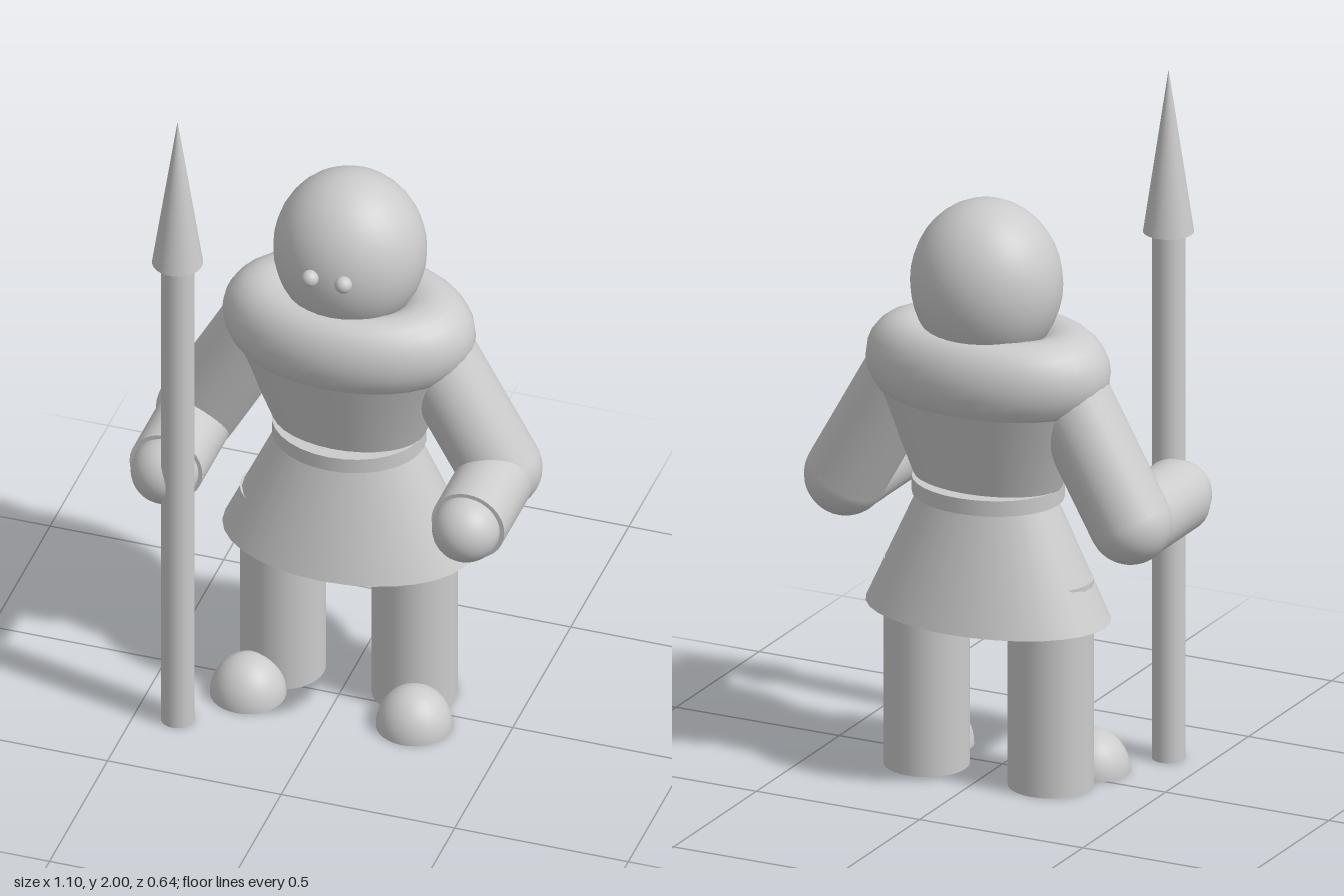
import * as THREE from 'three';

const BODY_Z = -0.086; // depth of the body's axis
const FLAT = 0.667; // torso depth relative to its width

export function createModel() {
  const model = new THREE.Group();
  model.name = 'spearGuard';
  const material = new THREE.MeshStandardMaterial({ color: 0xcccccc });

  function add(name, geometry, x, y, z, parent = model) {
    const mesh = new THREE.Mesh(geometry, material);
    mesh.name = name;
    mesh.position.set(x, y, z);
    parent.add(mesh);
    return mesh;
  }
  const ball = (r) => new THREE.SphereGeometry(r, 32, 20);
  // upright cylinder or cone between two heights
  function column(name, rTop, rBottom, y0, y1, x, z, parent) {
    return add(name, new THREE.CylinderGeometry(rTop, rBottom, y1 - y0, 32), x, (y0 + y1) / 2, z, parent);
  }
  // cylinder between two points
  function limb(name, a, b, r, parent) {
    const dir = b.clone().sub(a);
    const mid = a.clone().add(b).multiplyScalar(0.5);
    const mesh = add(name, new THREE.CylinderGeometry(r, r, dir.length(), 32), mid.x, mid.y, mid.z, parent);
    mesh.quaternion.setFromUnitVectors(new THREE.Vector3(0, 1, 0), dir.normalize());
    return mesh;
  }

  // Clothing: oval skirt, chest, belt and padded collar
  column('skirt', 0.195, 0.357, 0.48, 0.83, 0, BODY_Z).scale.z = FLAT;
  column('chest', 0.352, 0.2, 0.82, 1.19, 0, BODY_Z).scale.z = FLAT;
  column('belt', 0.215, 0.215, 0.815, 0.86, 0, BODY_Z).scale.z = 0.86;
  const collarShape = new THREE.TorusGeometry(0.237, 0.12, 24, 32);
  collarShape.rotateX(Math.PI / 2);
  add('collar', collarShape, 0, 1.193, BODY_Z).scale.z = FLAT;

  // Head
  add('head', ball(1), 0, 1.433, -0.095).scale.set(0.212, 0.235, 0.201);

  for (const side of [1, -1]) {
    const label = side > 0 ? 'left' : 'right';
    add(label + 'Eye', ball(0.024), side * 0.048, 1.455, 0.109);

    // Arm bent forward at the elbow
    const arm = new THREE.Group();
    arm.name = label + 'Arm';
    model.add(arm);
    const shoulder = new THREE.Vector3(side * 0.242, 1.145, BODY_Z);
    const elbow = new THREE.Vector3(side * 0.436, 0.8, BODY_Z);
    limb('upperArm', shoulder, elbow, 0.115, arm);
    add('elbow', ball(0.115), elbow.x, elbow.y, elbow.z, arm);
    limb('forearm', new THREE.Vector3(side * 0.435, 0.79, BODY_Z),
      new THREE.Vector3(side * 0.435, 0.79, 0.192), 0.105, arm);
    add('hand', ball(0.094), side * 0.434, 0.79, 0.203, arm);

    // Leg with a half-dome foot closed underneath
    const leg = new THREE.Group();
    leg.name = label + 'Leg';
    model.add(leg);
    column('shin', 0.118, 0.118, 0, 0.6, side * 0.19, -0.083, leg);
    const dome = new THREE.SphereGeometry(0.105, 32, 12, 0, Math.PI * 2, 0, Math.PI / 2);
    add('foot', dome, side * 0.239, 0, 0.07, leg).scale.y = 1.12;
    const sole = new THREE.CircleGeometry(0.105, 32);
    sole.rotateX(Math.PI / 2);
    add('sole', sole, side * 0.239, 0, 0.07, leg);
  }

  // Spear standing beside the right hand
  const spear = new THREE.Group();
  spear.name = 'spear';
  model.add(spear);
  column('shaft', 0.046, 0.046, 0, 1.53, -0.382, 0.25, spear);
  add('spearhead', new THREE.ConeGeometry(0.07, 0.47, 32), -0.382, 1.765, 0.25, spear);

  return model;
}
